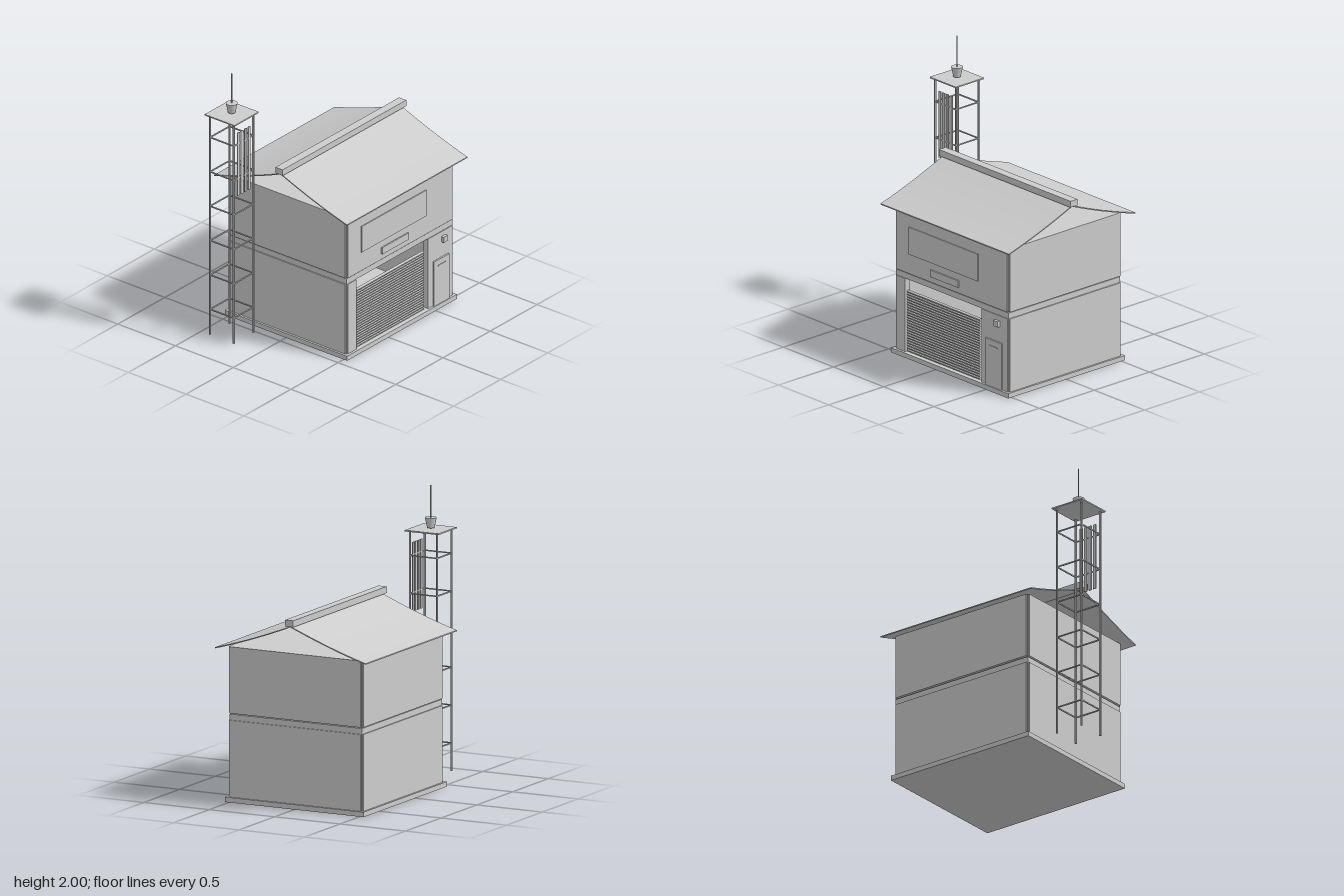
import * as THREE from 'three';

export function createModel() {
  const root = new THREE.Group();
  const grey = new THREE.MeshStandardMaterial({ color: 0xcccccc });
  grey.name = 'pale grey';

  const add = (name, geometry, parent = root) => {
    const mesh = new THREE.Mesh(geometry, grey);
    mesh.name = name;
    parent.add(mesh);
    return mesh;
  };
  // Box given by its minimum and maximum on each axis
  const box = (name, x0, x1, y0, y1, z0, z1, parent) => {
    const g = new THREE.BoxGeometry(x1 - x0, y1 - y0, z1 - z0);
    g.translate((x0 + x1) / 2, (y0 + y1) / 2, (z0 + z1) / 2);
    return add(name, g, parent);
  };
  const group = (name) => {
    const g = new THREE.Group();
    g.name = name;
    root.add(g);
    return g;
  };
  // Extrude a (z, y) outline along x
  const extrudeAlongX = (points, x0, x1) => {
    const shape = new THREE.Shape(points.map(([z, y]) => new THREE.Vector2(-z, y)));
    const g = new THREE.ExtrudeGeometry(shape, { depth: x1 - x0, bevelEnabled: false });
    return g.rotateY(Math.PI / 2).translate(x0, 0, 0);
  };

  // Foundation slab, also the garage floor
  box('foundation', -0.44, 0.725, 0, 0.034, -0.53, 0.53);

  // Ground floor: hollow, with a garage opening in the front
  const ground = group('groundFloor');
  box('backWall', -0.417, 0.703, 0.034, 0.601, -0.507, -0.48, ground);
  for (const [name, x0, x1] of [['rightWall', -0.417, -0.395], ['leftWall', 0.681, 0.703]])
    box(name, x0, x1, 0.034, 0.601, -0.507, 0.507, ground);
  box('frontPierRight', -0.417, -0.32, 0.034, 0.601, 0.47, 0.507, ground);
  box('frontPierLeft', 0.44, 0.703, 0.034, 0.601, 0.47, 0.507, ground);
  box('garageLintel', -0.32, 0.44, 0.56, 0.601, 0.47, 0.507, ground);
  // Thin cladding that stops short of the corners
  box('rightCladding', -0.425, -0.417, 0.034, 0.56, -0.5, 0.5, ground);
  box('leftCladding', 0.703, 0.711, 0.034, 0.56, -0.5, 0.5, ground);
  box('backCladding', -0.41, 0.697, 0.034, 0.56, -0.515, -0.507, ground);
  box('frontCladdingRight', -0.41, -0.32, 0.034, 0.56, 0.507, 0.513, ground);
  box('frontCladdingLeft', 0.44, 0.697, 0.034, 0.56, 0.507, 0.513, ground);

  // Corrugated roller shutter
  const slats = 24, bottom = 0.034, pitch = (0.475 - bottom) / slats;
  const outline = [[0.485, bottom]];
  for (let i = 0; i < slats; i++) {
    const y = bottom + i * pitch;
    outline.push([0.495, y], [0.503, y + pitch * 0.3], [0.503, y + pitch * 0.7]);
  }
  outline.push([0.495, 0.475], [0.485, 0.475]);
  add('rollerShutter', extrudeAlongX(outline, -0.315, 0.41));

  // Upper floor with cladding, separated from the ground floor by a shadow gap
  const upper = group('upperFloor');
  box('upperBody', -0.417, 0.703, 0.608, 1.064, -0.507, 0.507, upper);
  box('rightCladding', -0.425, -0.417, 0.608, 1.064, -0.5, 0.5, upper);
  box('leftCladding', 0.703, 0.711, 0.608, 1.064, -0.5, 0.5, upper);
  for (const s of [-1, 1]) {
    const z = [s * 0.507, s * 0.515].sort((a, b) => a - b);
    box(s > 0 ? 'frontCladding' : 'backCladding', -0.41, 0.697, 0.608, 1.064, z[0], z[1], upper);
  }

  // Front fittings
  box('longWindowPanel', -0.275, 0.41, 0.75, 0.945, 0.515, 0.522);
  box('smallPanel', -0.06, 0.22, 0.65, 0.7, 0.515, 0.525);
  box('wallLamp', 0.58, 0.622, 0.482, 0.523, 0.513, 0.534);
  box('sideDoor', 0.49, 0.65, 0.03, 0.37, 0.513, 0.525);
  box('doorRail', 0.53, 0.61, 0.322, 0.33, 0.525, 0.529);

  // Gently curved roof, open at the gables
  const curve = new THREE.QuadraticBezierCurve(
    new THREE.Vector2(0, 1.265), new THREE.Vector2(0.3, 1.142), new THREE.Vector2(0.575, 1.066));
  const half = curve.getPoints(14).map((p) => [p.x, p.y]);
  const top = [...half.slice(1).reverse().map(([z, y]) => [-z, y]), ...half];
  const underside = top.map(([z, y]) => [z, y - 0.008]).reverse();
  add('roof', extrudeAlongX([...top, ...underside], -0.497, 0.78));
  box('ridgeCap', -0.513, 0.798, 1.264, 1.309, -0.031, 0.031);

  // Lattice lookout tower beside the house
  const tower = group('tower');
  tower.position.set(-0.673, 0, -0.28);
  const r = 0.103, t = 0.0055, b = 0.004;
  for (const x of [-r, r])
    for (const z of [-r, r])
      box('towerLeg', x - t, x + t, 0.034, 1.694, z - t, z + t, tower);
  for (let i = 0; i < 6; i++) {
    const y = 0.225 + i * 0.26;
    for (const s of [-r, r]) {
      box('crossBar', -r, r, y - b, y + b, s - b, s + b, tower);
      box('sideBar', s - b, s + b, y - b, y + b, -r, r, tower);
    }
  }
  // Upright slats on the tower front
  for (let i = 0; i < 4; i++) {
    const x = -0.056 + i * 0.0373;
    box('towerSlat', x - 0.011, x + 0.011, 1.135, 1.61, r - 0.004, r + 0.004, tower);
  }
  box('towerPlatform', -0.129, 0.129, 1.692, 1.701, -0.129, 0.129, tower);
  add('siren', new THREE.CylinderGeometry(0.04, 0.025, 0.07, 24).translate(0, 1.743, 0), tower);
  add('antenna', new THREE.CylinderGeometry(0.004, 0.004, 0.3, 8).translate(0, 1.85, 0), tower);

  return root;
}
